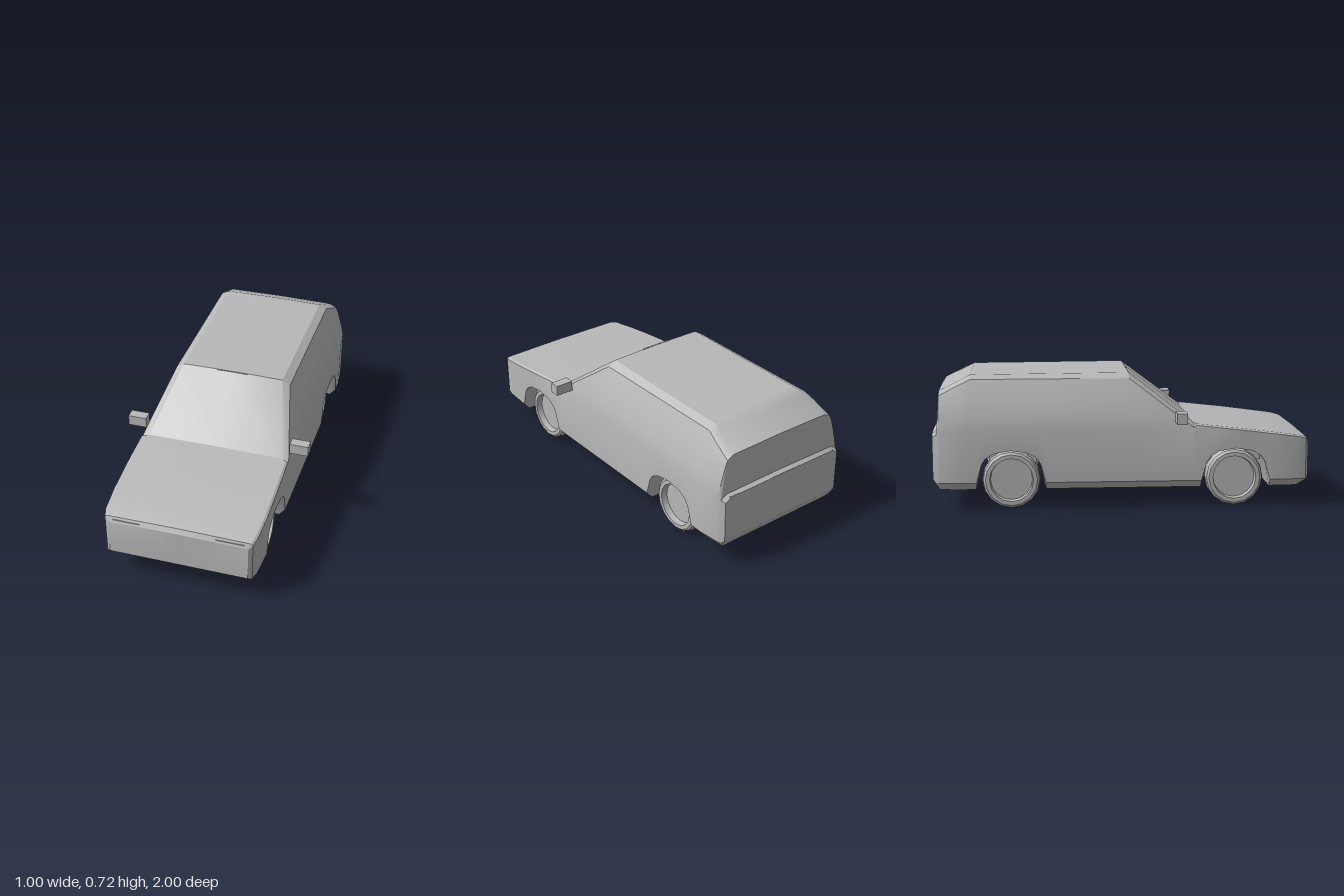
import * as THREE from 'three';
import { toCreasedNormals } from 'three/addons/utils/BufferGeometryUtils.js';

// Piecewise-linear lookup in a table of [key, value], keys ascending
function lookup(table, k) {
  if (k <= table[0][0]) return table[0][1];
  for (let i = 1; i < table.length; i++) {
    const [k0, v0] = table[i - 1], [k1, v1] = table[i];
    if (k <= k1) return v0 + (v1 - v0) * (k - k0) / (k1 - k0);
  }
  return table[table.length - 1][1];
}

const FRONT_AXLE = 0.605, REAR_AXLE = -0.588;

// Opening of one wheel arch, following the sill line upward and back
const arch = (z) => [[-0.184, 0.11], [-0.155, 0.25], [-0.135, 0.28], [-0.09, 0.308], [0, 0.322],
  [0.09, 0.308], [0.135, 0.28], [0.155, 0.25], [0.184, 0.11]].map(([d, y]) => [z + d, y]);

// Side silhouette along z: upper line, lower line, plan taper and roof-edge bevel
const upper = [[-1, 0.42], [-0.978, 0.432], [-0.965, 0.635], [-0.8, 0.715], [-0.3, 0.718], [0.04, 0.72],
  [0.38, 0.46], [0.65, 0.43], [0.94, 0.392], [0.985, 0.38], [1, 0.355]];
const lower = [[-1, 0.17], [-0.965, 0.11], ...arch(REAR_AXLE), ...arch(FRONT_AXLE), [0.94, 0.11], [1, 0.155]];
const taper = [[-1, 0.93], [-0.965, 0.97], [-0.85, 1], [0.8, 1], [0.94, 0.98], [0.985, 0.95], [1, 0.9]];
const bevel = [[0.38, 0.042], [0.39, 0.012]];
// Half width of the body by height
const width = [[0.11, 0.375], [0.15, 0.408], [0.43, 0.41], [0.5, 0.394], [0.58, 0.37], [0.69, 0.32]];

function bodyRing(z) {
  const top = lookup(upper, z), bottom = lookup(lower, z), s = lookup(taper, z);
  const rim = top - (z > 0.38 ? 0.012 : 0.025);
  const half = [[0, bottom]];
  for (const [level] of width) {
    const y = Math.min(Math.max(level, bottom), rim);
    half.push([lookup(width, y) * s, y]);
  }
  half.push([(lookup(width, rim) - lookup(bevel, z)) * s, top - 0.004], [0, top]);
  const mirrored = half.slice(1, -1).reverse().map(([x, y]) => [-x, y]);
  return [...half, ...mirrored].map(([x, y]) => [x, y, z]);
}

function bodyGeometry() {
  const keys = [upper, lower, taper, bevel].flat().map(([z]) => +z.toFixed(4));
  const stations = [...new Set(keys)].sort((a, b) => b - a);
  const rings = stations.map(bodyRing);
  const n = rings[0].length, pos = [];
  const tri = (...corners) => corners.forEach((c) => pos.push(...c));
  for (let i = 0; i + 1 < rings.length; i++) {
    for (let j = 0; j < n; j++) {
      const k = (j + 1) % n, p = rings[i], q = rings[i + 1];
      tri(p[j], q[j], q[k]);
      tri(p[j], q[k], p[k]);
    }
  }
  // Nose and tail caps
  const front = rings[0], back = rings[rings.length - 1];
  for (let j = 0; j < n; j++) {
    const k = (j + 1) % n;
    tri([0, 0.26, 1], front[j], front[k]);
    tri([0, 0.3, -1], back[k], back[j]);
  }
  const geo = new THREE.BufferGeometry();
  geo.setAttribute('position', new THREE.Float32BufferAttribute(pos, 3));
  return toCreasedNormals(geo, 0.45);
}

// Tyre with a recessed outer disc and a closed inner face
function wheelGeometry() {
  const profile = [[0, 0.272], [0.138, 0.272], [0.152, 0.282], [0.155, 0.3], [0.155, 0.335], [0.15, 0.355],
    [0.138, 0.364], [0.116, 0.364], [0.112, 0.33], [0, 0.33]].map(([r, h]) => new THREE.Vector2(r, h));
  return toCreasedNormals(new THREE.LatheGeometry(profile, 16), 0.6);
}

export function createModel() {
  const car = new THREE.Group();
  car.name = 'car';
  const grey = new THREE.MeshStandardMaterial({ color: 0xb8b8b8 });
  grey.name = 'plain grey';

  const add = (name, geometry, x = 0, y = 0, z = 0) => {
    const mesh = new THREE.Mesh(geometry, grey);
    mesh.name = name;
    mesh.position.set(x, y, z);
    car.add(mesh);
    return mesh;
  };
  const box = (name, w, h, d, x, y, z) => add(name, new THREE.BoxGeometry(w, h, d), x, y, z);

  add('body', bodyGeometry());

  // Wheels and axles
  const wheel = wheelGeometry();
  for (const [end, z] of [['front', FRONT_AXLE], ['rear', REAR_AXLE]]) {
    for (const side of [1, -1]) {
      const mesh = add(end + (side > 0 ? 'Left' : 'Right') + 'Wheel', wheel, 0, 0.155, z);
      mesh.rotation.z = -side * Math.PI / 2;
    }
    box(end + 'Axle', 0.55, 0.035, 0.035, 0, 0.165, z);
  }
  // Engine bay underside and rear suspension beams
  box('engineBay', 0.48, 0.1, 0.33, 0, 0.28, FRONT_AXLE);
  for (const dz of [-0.06, 0.07]) box('suspensionBeam', 0.54, 0.03, 0.03, 0, 0.2, REAR_AXLE + dz);

  for (const side of [1, -1]) {
    // Door mirrors
    box('mirror', 0.1, 0.058, 0.055, side * 0.45, 0.495, 0.307);
    // Slim headlamps with a short outer drop
    box('headlamp', 0.145, 0.006, 0.008, side * 0.2725, 0.362, 0.992);
    box('headlampEnd', 0.006, 0.024, 0.008, side * 0.343, 0.353, 0.99);
  }
  // Tail light strip and windscreen header trim
  box('tailLightStrip', 0.7, 0.012, 0.008, 0, 0.412, -0.997);
  box('headerTrim', 0.17, 0.006, 0.008, 0, 0.718, 0.04);

  return car;
}
